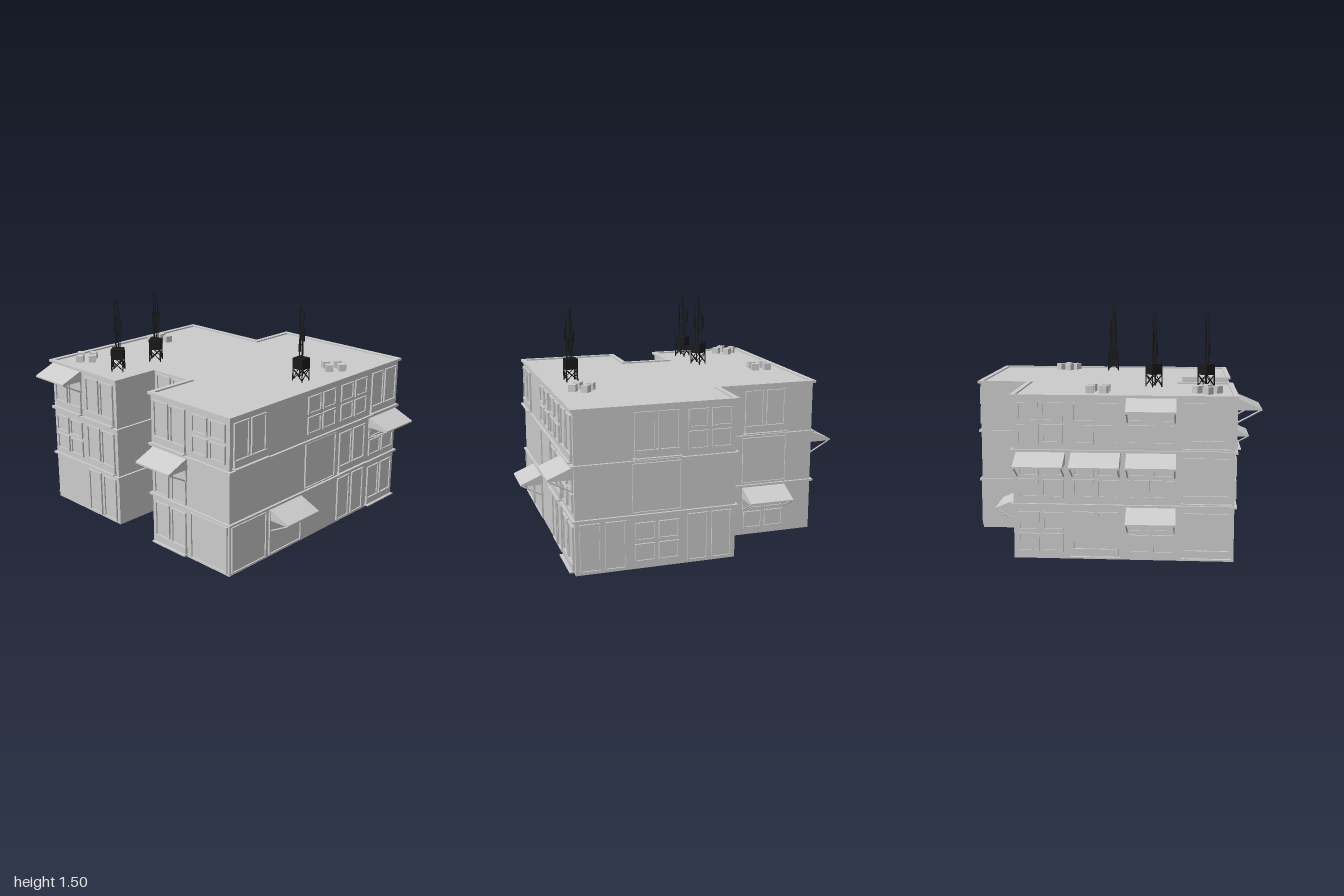
import * as THREE from 'three';

const BAY = 0.338;   // width of a bay and height of a floor
const E = 0.845;     // half width of the outer walls
const grey = new THREE.MeshStandardMaterial({ color: 0xcccccc, flatShading: true, side: THREE.DoubleSide });
const black = new THREE.MeshStandardMaterial({ color: 0x1a1a1a, flatShading: true });

// Footprint corners (x, z) in order
const plan = [[-E, 0.78], [-0.169, 0.78], [-0.169, 0.442], [0.169, 0.442], [0.169, 0.78], [E, 0.78],
  [E, -0.91], [-0.169, -0.91], [-0.169, -0.572], [-E, -0.572]];

function add(parent, name, geo, x = 0, y = 0, z = 0, mat = grey) {
  const m = new THREE.Mesh(geo, mat);
  m.name = name;
  m.position.set(x, y, z);
  parent.add(m);
  return m;
}
const box = (p, name, w, h, d, x, y, z, mat) => add(p, name, new THREE.BoxGeometry(w, h, d), x, y, z, mat);

// Thin rod between two points
function rod(p, name, a, b, r, mat = grey) {
  const A = new THREE.Vector3(...a), B = new THREE.Vector3(...b);
  const m = add(p, name, new THREE.CylinderGeometry(r, r, A.distanceTo(B), 6), 0, 0, 0, mat);
  m.position.copy(A).add(B).multiplyScalar(0.5);
  m.quaternion.setFromUnitVectors(new THREE.Vector3(0, 1, 0), B.sub(A).normalize());
}

// Footprint moved outwards by d, as points for an upright extrusion
function outline(d) {
  const n = plan.length;
  return plan.map(([x, z], i) => {
    const [ax, az] = plan[(i + n - 1) % n], [bx, bz] = plan[(i + 1) % n];
    const s1 = [Math.sign(x - ax), Math.sign(z - az)], s2 = [Math.sign(bx - x), Math.sign(bz - z)];
    return new THREE.Vector2(x - d * (s1[1] + s2[1]), -(z + d * (s1[0] + s2[0])));
  });
}
function slab(outer, inner, h) {
  const s = new THREE.Shape(outline(outer));
  if (inner !== null) s.holes.push(new THREE.Path(outline(inner)));
  return new THREE.ExtrudeGeometry(s, { depth: h, bevelEnabled: false }).rotateX(-Math.PI / 2);
}

// Raised frame with a pane, lower left corner at (x, y)
function framed(p, name, x, y, w, h, bar = 0.01, depth = 0.012) {
  const rect = (S, i) => new S([[i, i], [w - i, i], [w - i, h - i], [i, h - i]].map(c => new THREE.Vector2(...c)));
  const s = rect(THREE.Shape, 0);
  s.holes.push(rect(THREE.Path, bar));
  add(p, name + 'Frame', new THREE.ExtrudeGeometry(s, { depth, bevelEnabled: false }), x, y, 0);
  box(p, name + 'Pane', w - bar * 2, h - bar * 2, 0.003, x + w / 2, y + h / 2, 0.0015);
}

// Bay fillings, each drawn in the bay's own frame: x across, y up, z outwards
const fill = {
  G(g) { // four square windows
    for (const x of [-0.14, 0.01]) for (const y of [0.045, 0.18]) framed(g, 'window', x, y, 0.13, 0.115);
  },
  P(g) { // two tall windows behind a window box
    for (const x of [-0.14, 0.01]) framed(g, 'tallWindow', x, 0.05, 0.13, 0.25);
    box(g, 'windowBox', 0.285, 0.048, 0.016, 0, 0.044, 0.008);
    box(g, 'windowLedge', 0.3, 0.008, 0.034, 0, 0.018, 0.017);
  },
  D(g) { // pair of doors
    for (const x of [-0.143, 0.013]) framed(g, 'door', x, 0.015, 0.13, 0.305);
  },
  S(g) { // wide shutter
    framed(g, 'shutter', -0.155, 0.015, 0.31, 0.31, 0.008);
  },
  E(g) { // main entrance
    framed(g, 'entranceSurround', -0.165, 0, 0.33, 0.325, 0.025, 0.03);
    for (const x of [-0.132, 0.012]) {
      framed(g, 'entranceDoor', x, 0.015, 0.12, 0.285, 0.012, 0.016);
    }
    box(g, 'entrancePost', 0.02, 0.3, 0.024, 0, 0.15, 0.012);
  },
};

function awning(g) {
  const s = new THREE.Shape([[0, 0.33], [0, 0.255], [0.155, 0.255], [0.155, 0.265]].map(c => new THREE.Vector2(...c)));
  const geo = new THREE.ExtrudeGeometry(s, { depth: 0.302, bevelEnabled: false });
  geo.rotateY(-Math.PI / 2).translate(0.151, 0, 0);
  add(g, 'awning', geo);
  for (const x of [-0.143, 0.143]) {
    rod(g, 'awningBrace', [x, 0.18, 0.008], [x, 0.255, 0.145], 0.005);
    box(g, 'awningBracket', 0.01, 0.085, 0.01, x, 0.215, 0.006);
  }
}

// Bay rows per wall from ground floor up; lower case adds an awning, a dot is plain wall
const walls = [
  { name: 'frontLeftWall', x: -0.676, z: 0.78, r: 0, rows: ['.D', 'GP', 'pP'] },
  { name: 'entranceWall', x: 0, z: 0.442, r: 0, rows: ['E', '.', 'D'] },
  { name: 'frontRightWall', x: 0.338, z: 0.78, r: 0, rows: ['PS', 'd.', 'PG'] },
  { name: 'sideWall', x: E, z: 0.611, r: 1, rows: ['Ss.DP', '..SPg', 'P.GGP'] },
  { name: 'backWall', x: 0.676, z: -0.91, r: 2, rows: ['DGD', '.S.', '.PG'] },
  { name: 'backSetbackWall', x: -0.507, z: -0.572, r: 2, rows: ['g', 'S', 'P'] },
  { name: 'oppositeSideWall', x: -E, z: -0.403, r: 3, rows: ['GPgP', 'gggP', 'GGgP'] },
];

// Roof mast: braced legs, cabinet, poles and aerial panels
function tower(parent, x, z, turn) {
  const t = new THREE.Group();
  t.name = 'antennaTower';
  t.position.set(x, 1.015, z);
  t.rotation.y = turn;
  parent.add(t);
  const a = 0.037;
  for (let i = 0; i < 4; i++) {
    const side = new THREE.Group();
    side.name = 'legFrame';
    side.rotation.y = i * Math.PI / 2;
    t.add(side);
    rod(side, 'leg', [a, 0, a], [a, 0.09, a], 0.004, black);
    rod(side, 'crossBrace', [-a, 0.01, a], [a, 0.08, a], 0.003, black);
    rod(side, 'crossBrace', [a, 0.01, a], [-a, 0.08, a], 0.003, black);
  }
  box(t, 'cabinet', 0.08, 0.07, 0.08, 0, 0.117, 0, black);
  for (const [px, pz, top] of [[-0.01, 0.008, 0.485], [0.004, -0.008, 0.47], [0.02, 0.014, 0.42], [-0.012, -0.02, 0.38]])
    rod(t, 'mast', [px, 0.15, pz], [px, top, pz], 0.0035, black);
  for (const [px, pz, y] of [[0.028, 0.016, 0.31], [-0.02, -0.024, 0.3], [0.004, 0.026, 0.24]]) {
    box(t, 'aerialPanel', 0.01, 0.085, 0.01, px, y, pz, black);
    rod(t, 'aerialArm', [0, y, 0], [px, y, pz], 0.003, black);
  }
}

// Cluster of four cooling units
function coolers(parent, x, z, turn) {
  const c = new THREE.Group();
  c.name = 'coolingUnits';
  c.position.set(x, 1.015, z);
  c.rotation.y = turn;
  parent.add(c);
  for (const sx of [-1, 1]) for (const sz of [-1, 1]) {
    const u = box(c, 'coolingUnit', 0.048, 0.045, 0.048, sx * 0.042, 0.027, sz * 0.043);
    u.rotation.y = 0.08 * sx * sz;
  }
}

export function createModel() {
  const model = new THREE.Group();
  model.name = 'building';

  // Hollow shell, open below
  add(model, 'outerWalls', slab(0, -0.006, 3 * BAY), 0, 0, 0);
  add(model, 'roof', slab(-0.002, null, 0.006), 0, 1.008, 0);
  for (const k of [1, 2]) add(model, 'floorCornice', slab(0.016, -0.004, 0.014), 0, k * BAY - 0.004, 0);
  add(model, 'roofParapet', slab(0.016, -0.016, 0.016), 0, 1.008, 0);

  // Windows, doors and awnings
  for (const w of walls) {
    const wall = new THREE.Group();
    wall.name = w.name;
    wall.position.set(w.x, 0, w.z);
    wall.rotation.y = w.r * Math.PI / 2;
    model.add(wall);
    w.rows.forEach((row, floor) => [...row].forEach((c, i) => {
      if (c === '.') return;
      const bay = new THREE.Group();
      bay.name = 'bay';
      bay.position.set(i * BAY, floor * BAY + (floor ? 0.004 : 0), 0);
      wall.add(bay);
      fill[c.toUpperCase()](bay);
      if (c !== c.toUpperCase()) awning(bay);
    }));
  }

  // Rooftop equipment
  tower(model, -0.343, 0.273, 0.65);
  tower(model, -0.34, 0.612, 0.7);
  tower(model, 0.67, -0.063, 0.05);
  coolers(model, -0.677, -0.063, -0.1);
  coolers(model, -0.675, 0.612, 0.8);
  coolers(model, 0.672, -0.402, 0.95);
  return model;
}
